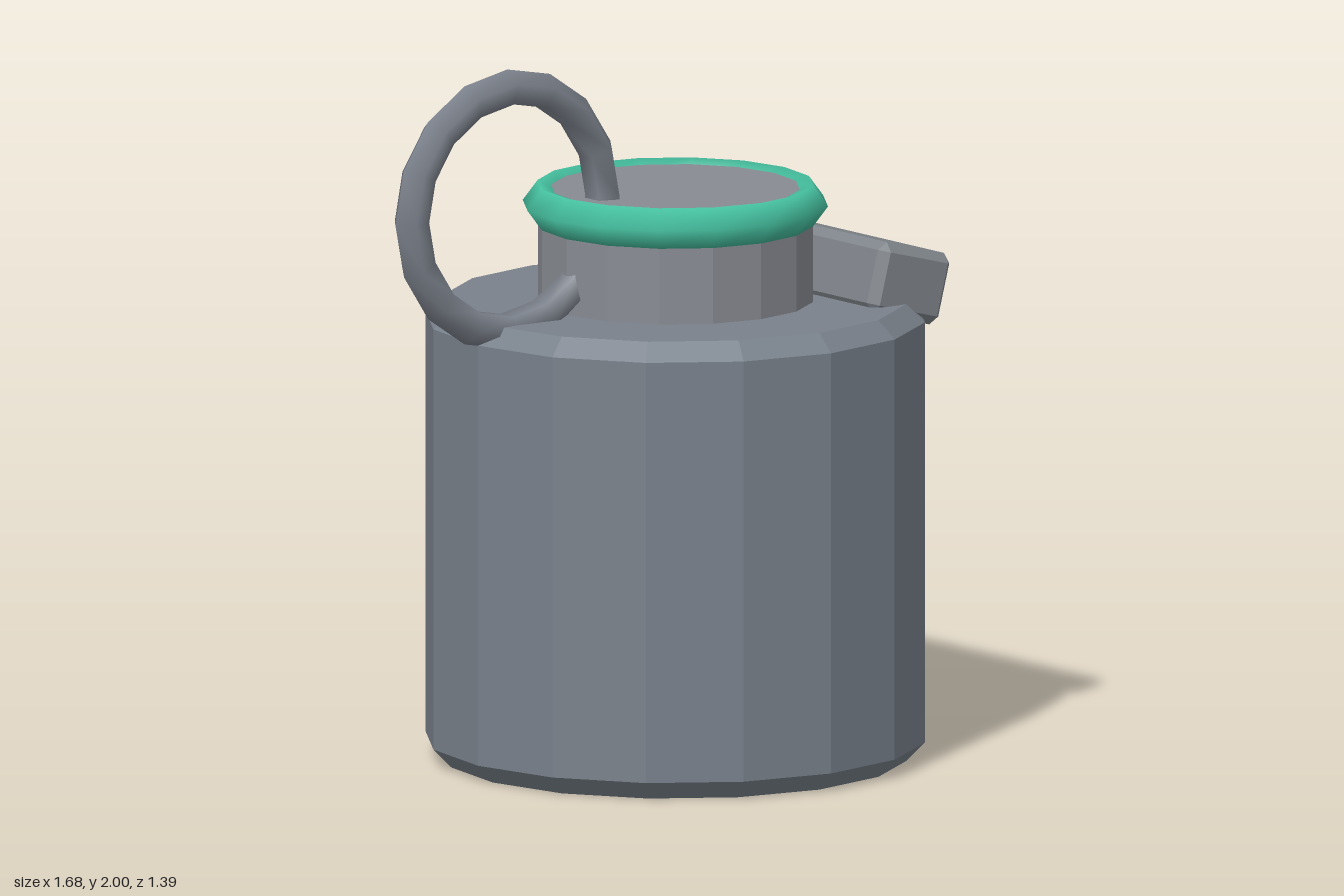
import * as THREE from 'three';
import { ConvexGeometry } from 'three/addons/geometries/ConvexGeometry.js';

const AXIS_X = 0.145; // the canister's axis
const SIDES = 16;

const paint = (color, flatShading) => new THREE.MeshStandardMaterial({ color, flatShading });
const bodyPaint = paint(0x79818b, true);
const neckPaint = paint(0x888b92, true);
const leverPaint = paint(0x7f848a, true);
const ringPaint = paint(0x7c828c, false);
const rimPaint = paint(0x46c2a1, false);

// Box with every edge cut by c; a, b, d are half sizes
function chamferedBox(a, b, d, c) {
  const points = [];
  for (const x of [-1, 1]) for (const y of [-1, 1]) for (const z of [-1, 1]) {
    points.push(
      new THREE.Vector3(x * a, y * (b - c), z * (d - c)),
      new THREE.Vector3(x * (a - c), y * b, z * (d - c)),
      new THREE.Vector3(x * (a - c), y * (b - c), z * d)
    );
  }
  return new ConvexGeometry(points);
}

export function createModel() {
  const group = new THREE.Group();
  const add = (name, geometry, material, x, y) => {
    const mesh = new THREE.Mesh(geometry, material);
    mesh.name = name;
    mesh.position.set(x, y, 0);
    group.add(mesh);
    return mesh;
  };

  // Body with bevelled top and bottom
  const profile = [[0, 0], [0.643, 0], [0.695, 0.053], [0.695, 1.235], [0.643, 1.285], [0, 1.285]]
    .map(([r, y]) => new THREE.Vector2(r, y));
  add('body', new THREE.LatheGeometry(profile, SIDES), bodyPaint, AXIS_X, 0);

  // Neck, whose top closes the rim
  add('neck', new THREE.CylinderGeometry(0.383, 0.383, 0.33, SIDES), neckPaint, AXIS_X, 1.435);

  // Coloured rim around the neck
  add('rim', new THREE.TorusGeometry(0.365, 0.06, 5, SIDES), rimPaint, AXIS_X, 1.555)
    .rotation.x = Math.PI / 2;

  // Pull ring standing through the neck
  add('pullRing', new THREE.TorusGeometry(0.341, 0.052, 5, SIDES), ringPaint, -0.447, 1.607);

  // Tilted lever on the shoulder
  add('lever', chamferedBox(0.13, 0.101, 0.455, 0.026), leverPaint, 0.626, 1.337)
    .rotation.z = -0.262;

  return group;
}
